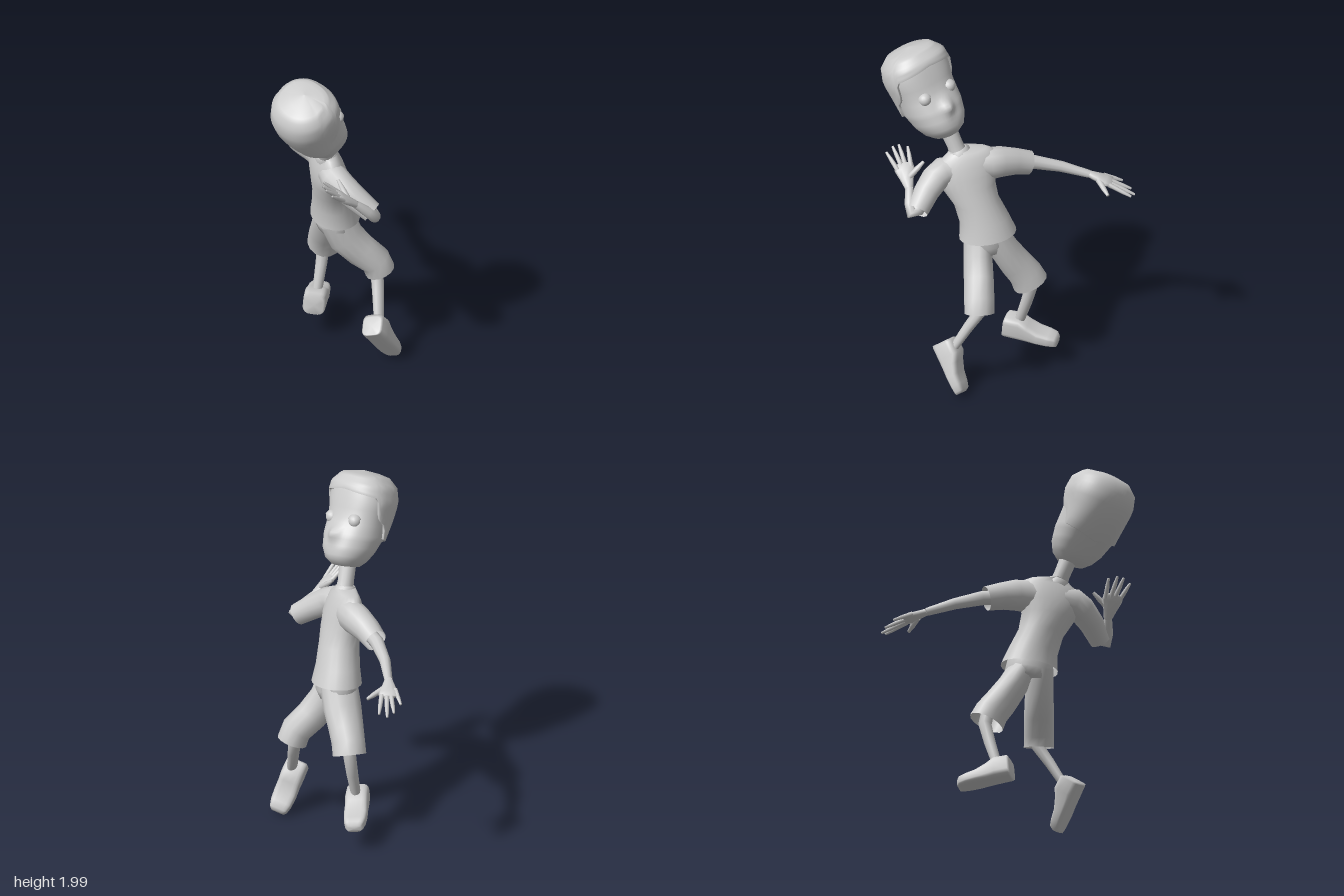
import * as THREE from 'three';

const material = new THREE.MeshStandardMaterial({ color: 0xcccccc, side: THREE.DoubleSide });
const vec = (a) => new THREE.Vector3(...a);

// Joins rings of equal point count into a smooth skin that wraps around.
function skin(rings) {
  const n = rings[0].length, index = [];
  for (let i = 0; i < rings.length - 1; i++)
    for (let j = 0; j < n; j++) {
      const a = i * n + j, b = i * n + (j + 1) % n;
      index.push(a, b, b + n, a, b + n, a + n);
    }
  const g = new THREE.BufferGeometry().setFromPoints(rings.flat());
  g.setIndex(index);
  g.computeVertexNormals();
  return g;
}

const bend = (v, p) => Math.sign(v) * Math.abs(v) ** p;

// Loft along sections [x, y, z, side radius, front radius]; hint points to the front.
function loft(sections, hint, { n = 14, power = 1, capStart = false, capEnd = false, dir } = {}) {
  const c = sections.map((q) => vec(q.slice(0, 3)));
  const rings = sections.map((q, i) => {
    const t = dir ? vec(dir) : c[Math.min(i + 1, c.length - 1)].clone().sub(c[Math.max(i - 1, 0)]);
    t.normalize();
    const u = vec(hint).cross(t).normalize(), v = t.clone().cross(u);
    return Array.from({ length: n }, (_, j) => {
      const a = (j / n) * Math.PI * 2;
      return c[i].clone()
        .addScaledVector(u, q[3] * bend(Math.cos(a), power))
        .addScaledVector(v, (q[4] ?? q[3]) * bend(Math.sin(a), power));
    });
  });
  if (capStart) rings.unshift(rings[0].map(() => c[0].clone()));
  if (capEnd) rings.push(rings[0].map(() => c[c.length - 1].clone()));
  return skin(rings);
}

function add(parent, name, geometry) {
  const mesh = new THREE.Mesh(geometry, material);
  mesh.name = name;
  parent.add(mesh);
  return mesh;
}

// Group placed at pos with its z along forward and its y near up.
function framed(parent, name, pos, forward, up) {
  const g = new THREE.Group();
  g.name = name;
  const z = vec(forward).normalize(), x = vec(up).cross(z).normalize(), y = z.clone().cross(x);
  g.quaternion.setFromRotationMatrix(new THREE.Matrix4().makeBasis(x, y, z));
  g.position.set(...pos);
  parent.add(g);
  return g;
}

function table(rows, x, k) {
  let i = 0;
  while (i < rows.length - 2 && x > rows[i + 1][0]) i++;
  const t = THREE.MathUtils.clamp((x - rows[i][0]) / (rows[i + 1][0] - rows[i][0]), 0, 1);
  return THREE.MathUtils.lerp(rows[i][k], rows[i + 1][k], t);
}

// Head profile: height, half width, front depth, back depth, centre shift
const HEAD = [
  [-0.29, 0, 0, 0, 0.05], [-0.278, 0.075, 0.09, 0.07, 0.045], [-0.245, 0.112, 0.135, 0.095, 0.04],
  [-0.19, 0.144, 0.158, 0.12, 0.03], [-0.11, 0.165, 0.168, 0.145, 0.01], [0, 0.17, 0.146, 0.18, 0],
  [0.1, 0.184, 0.143, 0.197, 0], [0.18, 0.17, 0.135, 0.178, 0], [0.235, 0.12, 0.095, 0.125, 0], [0.255, 0, 0, 0, 0],
];
function headPoint(a, y, scale = 1) {
  const [w, f, b, s] = [1, 2, 3, 4].map((k) => table(HEAD, y, k));
  const c = bend(Math.cos(a), 0.88), x = w * scale * bend(Math.sin(a), 0.88);
  // Nose swells out of the face
  const nose = c > 0 ? 0.04 * Math.exp(-((x / 0.034) ** 2) - ((y + 0.1) / 0.042) ** 2) : 0;
  return new THREE.Vector3(x, y, s + scale * c * (c > 0 ? f : b) + nose);
}

// Hairline: angle from the face in degrees, lower edge height
const HAIRLINE = [[0, 0.15], [70, 0.12], [80, 0.02], [90, -0.01], [100, -0.03], [106, -0.1], [180, -0.14]];

function buildHead(root) {
  const head = framed(root, 'head', [-0.15, 1.74, 0.465], [0.8, 0.37, -0.55], [-0.2, 0.93, 0.345]);
  const N = 60, around = (fn) => Array.from({ length: N }, (_, j) => fn((j / N) * Math.PI * 2));
  const extra = [-0.22, -0.165, -0.14, -0.125, -0.095, -0.08, -0.06, -0.035, 0.05, 0.14];
  const heights = [...HEAD.map((r) => r[0]), ...extra].sort((a, b) => a - b);
  add(head, 'face', skin(heights.map((y) => around((a) => headPoint(a, y)))));

  // Hair shell from the hairline up to the crown, its edge turned in
  const hairRing = (t, scale) => around((a) => {
    const deg = 180 - Math.abs(180 - THREE.MathUtils.radToDeg(a));
    const low = table(HAIRLINE, deg, 1);
    const p = headPoint(a, low + (0.255 - low) * Math.sin(t * Math.PI / 2), scale);
    p.y *= 1.03;
    return p;
  });
  const rows = Array.from({ length: 13 }, (_, i) => hairRing(i / 12, 1.09));
  add(head, 'hair', skin([hairRing(0, 0.96), hairRing(0, 1.06), ...rows]));

  for (const s of [-1, 1]) {
    const eye = add(head, s > 0 ? 'leftEye' : 'rightEye', new THREE.SphereGeometry(0.036, 18, 12));
    eye.position.set(s * 0.086, -0.018, 0.12);
    const lid = add(head, 'eyelid', new THREE.SphereGeometry(0.041, 18, 6, 0, Math.PI * 2, 0, 1.25));
    lid.position.copy(eye.position);
    lid.rotation.x = 0.1;
  }
}

// Palm, four fingers and a thumb
function buildHand(root, name, { wrist, palm, normal, tips, thumb }) {
  const hand = new THREE.Group();
  hand.name = name;
  root.add(hand);
  const at = (t) => vec(wrist).lerp(vec(palm), t).toArray();
  add(hand, 'palm', loft([
    [...wrist, 0.024, 0.02], [...at(0.35), 0.038, 0.021], [...at(0.75), 0.057, 0.018], [...palm, 0.054, 0.012],
  ], normal, { n: 10, capEnd: true }));
  const mean = tips.reduce((m, t) => m.addScaledVector(vec(t), 1 / tips.length), new THREE.Vector3());
  const finger = (label, from, to, r) => add(hand, label, loft([
    [...from.toArray(), r], [...from.clone().lerp(to, 0.6).toArray(), r * 0.85], [...to.toArray(), r * 0.5],
  ], normal, { n: 8, capEnd: true }));
  for (const t of tips) {
    const side = vec(t).sub(mean).multiplyScalar(0.62);
    const back = vec(wrist).sub(vec(palm)).multiplyScalar(0.15);
    finger('finger', vec(palm).add(side).add(back), vec(t), 0.014);
  }
  finger('thumb', vec(thumb[0]), vec(thumb[1]), 0.018);
}

// Shoe: distance from heel, height, half width
const SHOE = [[0, 0.11, 0.053], [0.012, 0.13, 0.064], [0.09, 0.133, 0.066], [0.14, 0.104, 0.064],
  [0.2, 0.077, 0.066], [0.26, 0.068, 0.062], [0.3, 0.06, 0.052], [0.315, 0.04, 0.038]];
function buildShoe(root, name, pos, forward, up, length = 1) {
  const shoe = framed(root, name, pos, forward, up);
  const sections = SHOE.map(([t, h, w]) => [0, h / 2, t * length, w, h / 2]);
  add(shoe, 'shoeBody', loft(sections, [0, 1, 0],
    { n: 24, power: 0.5, capStart: true, capEnd: true, dir: [0, 0, 1] }));
}

export function createModel() {
  const root = new THREE.Group();
  root.name = 'figure';
  const front = [0.97, 0, -0.22];

  buildHead(root);
  add(root, 'neck', loft([[-0.035, 1.37, 0.27, 0.052], [-0.05, 1.43, 0.295, 0.046], [-0.075, 1.56, 0.35, 0.05]], front));

  // Shirt
  add(root, 'shirt', loft([
    [0.035, 0.895, 0.11, 0.163, 0.138], [0.025, 0.99, 0.13, 0.14, 0.122], [0.01, 1.1, 0.175, 0.128, 0.112],
    [-0.008, 1.19, 0.215, 0.15, 0.106], [-0.02, 1.26, 0.225, 0.175, 0.098], [-0.03, 1.325, 0.223, 0.178, 0.085],
    [-0.036, 1.37, 0.222, 0.158, 0.068], [-0.04, 1.396, 0.23, 0.115, 0.056], [-0.043, 1.405, 0.268, 0.058, 0.054],
  ], front, { n: 24, dir: [-0.03, 0.97, 0.12] }));
  add(root, 'collar', loft([[-0.038, 1.375, 0.268, 0.064], [-0.044, 1.405, 0.28, 0.056], [-0.044, 1.405, 0.28, 0.046]],
    front, { dir: [-0.15, 0.92, 0.35] }));
  add(root, 'leftSleeve', loft([
    [-0.03, 1.3, 0.2, 0.075, 0.08], [-0.052, 1.302, 0.1, 0.084, 0.095], [-0.075, 1.3, 0.04, 0.084, 0.09],
    [-0.115, 1.277, -0.04, 0.074, 0.078], [-0.145, 1.25, -0.125, 0.064, 0.07],
  ], [0, 1, 0]));
  const bendNormal = [0.67, 0.74, 0];
  add(root, 'rightSleeve', loft([
    [-0.025, 1.29, 0.28, 0.07], [0, 1.28, 0.36, 0.084], [0.035, 1.255, 0.405, 0.08],
    [0.1, 1.205, 0.455, 0.072], [0.19, 1.135, 0.505, 0.062],
  ], bendNormal));

  // Arms and hands
  add(root, 'leftArm', loft([
    [-0.1, 1.28, -0.02, 0.04], [-0.15, 1.25, -0.15, 0.04], [-0.168, 1.21, -0.3, 0.032], [-0.16, 1.165, -0.46, 0.023],
  ], [0, 1, 0], { n: 10 }));
  buildHand(root, 'leftHand', {
    wrist: [-0.16, 1.165, -0.46], palm: [-0.138, 1.125, -0.585], normal: [0, 1, 0],
    tips: [[-0.198, 1.1, -0.645], [-0.15, 1.075, -0.695], [-0.108, 1.062, -0.715], [-0.065, 1.075, -0.695]],
    thumb: [[-0.13, 1.145, -0.51], [-0.02, 1.11, -0.565]],
  });
  add(root, 'rightArm', loft([
    [0.12, 1.195, 0.46, 0.038], [0.185, 1.135, 0.505, 0.038], [0.2, 1.125, 0.535, 0.036],
    [0.16, 1.165, 0.547, 0.03], [0.09, 1.225, 0.55, 0.023],
  ], bendNormal, { n: 10 }));
  buildHand(root, 'rightHand', {
    wrist: [0.09, 1.225, 0.55], palm: [-0.02, 1.32, 0.585], normal: bendNormal,
    tips: [[-0.06, 1.37, 0.68], [-0.09, 1.39, 0.645], [-0.1, 1.395, 0.61], [-0.09, 1.39, 0.56]],
    thumb: [[0.045, 1.27, 0.55], [0, 1.345, 0.47]],
  });

  // Shorts
  add(root, 'shortsSeat', loft([
    [0.035, 0.93, 0.115, 0.13, 0.115], [0.035, 0.86, 0.11, 0.14, 0.118], [0.03, 0.81, 0.1, 0.12, 0.1],
  ], front, { n: 18, capEnd: true }));
  add(root, 'rightShortsLeg', loft([
    [0.035, 0.89, 0.165, 0.08, 0.105], [0.085, 0.77, 0.165, 0.08, 0.105],
    [0.17, 0.67, 0.16, 0.084, 0.096], [0.256, 0.59, 0.157, 0.087, 0.088], [0.282, 0.52, 0.155, 0.086, 0.086],
  ], front));
  add(root, 'leftShortsLeg', loft([
    [0.03, 0.89, 0.075, 0.08, 0.11], [0.02, 0.78, 0.015, 0.085, 0.11], [0.01, 0.68, -0.05, 0.093, 0.1],
    [0.006, 0.615, -0.1, 0.097, 0.095], [0.004, 0.55, -0.13, 0.102, 0.095],
  ], front));

  // Shins and shoes
  add(root, 'rightShin', loft([
    [0.25, 0.6, 0.135, 0.035, 0.04], [0.265, 0.52, 0.15, 0.034, 0.038], [0.262, 0.42, 0.215, 0.029, 0.034],
    [0.255, 0.24, 0.32, 0.021, 0.028],
  ], front, { n: 10 }));
  add(root, 'leftShin', loft([
    [0.01, 0.63, -0.12, 0.037], [0.004, 0.54, -0.138, 0.038, 0.036], [-0.015, 0.42, -0.11, 0.034, 0.033],
    [-0.045, 0.26, -0.065, 0.028, 0.027],
  ], front, { n: 10 }));
  buildShoe(root, 'rightShoe', [0.195, 0.252, 0.405], [0.48, -0.76, -0.43], [0.23, 0.54, -0.8], 0.97);
  buildShoe(root, 'leftShoe', [-0.08, 0.17, 0.02], [0.085, -0.03, -0.31], [0.08, 1, 0]);
  return root;
}
